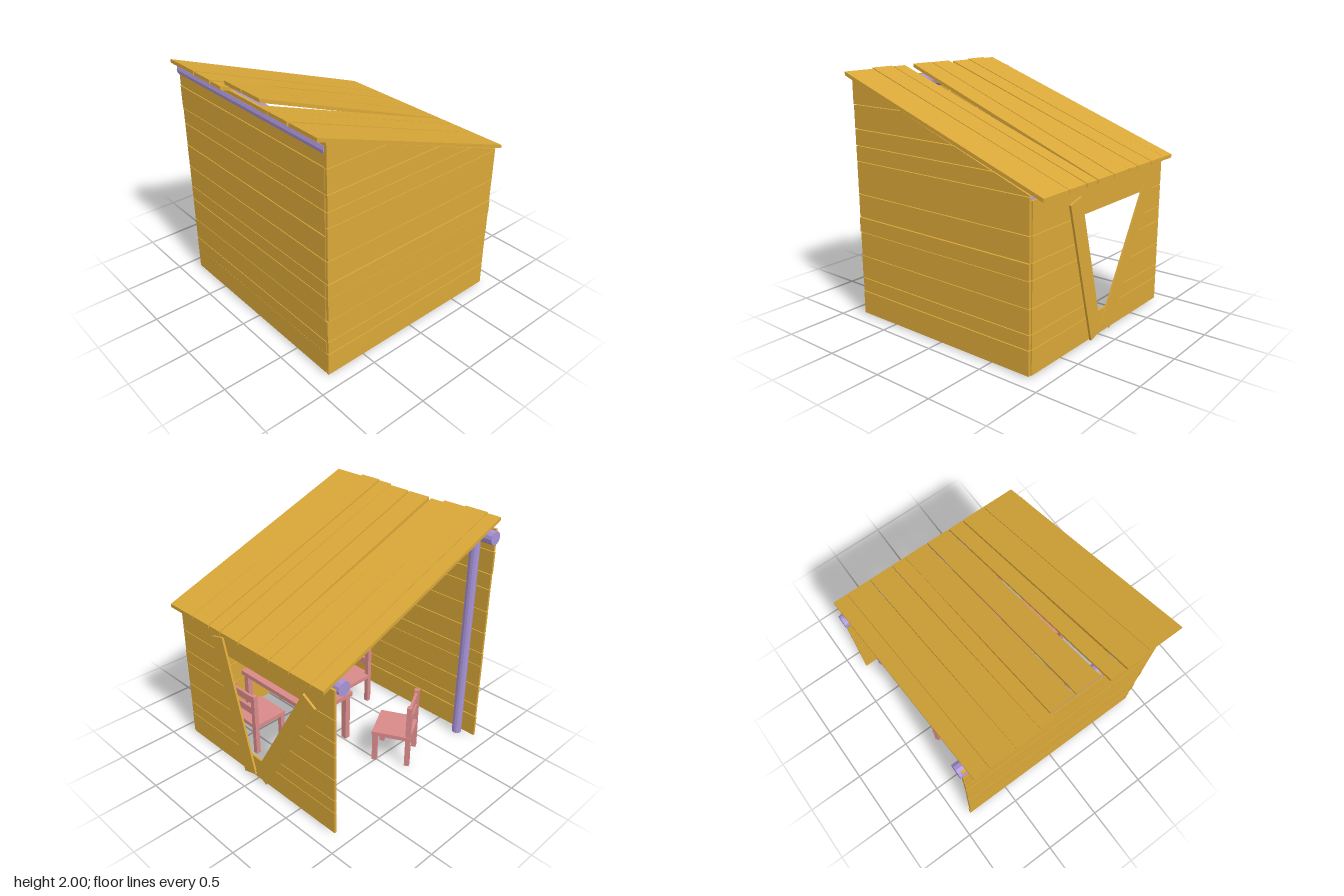
import * as THREE from 'three';

const wood = new THREE.MeshStandardMaterial({ color: 0xd9a738, flatShading: true });
const pole = new THREE.MeshStandardMaterial({ color: 0xa893d6, flatShading: true });
const pink = new THREE.MeshStandardMaterial({ color: 0xd98a8a, flatShading: true });

// Small seeded wobble so the planks look hand-nailed
let seed = 7;
const wobble = (amount) => {
  seed = (seed * 16807) % 2147483647;
  return (seed / 2147483647 - 0.5) * 2 * amount;
};

function add(parent, name, geometry, material, x = 0, y = 0, z = 0) {
  const mesh = new THREE.Mesh(geometry, material);
  mesh.name = name;
  mesh.position.set(x, y, z);
  parent.add(mesh);
  return mesh;
}

// Flat board cut to an outline, extruded along +z
function board(points, depth) {
  const shape = new THREE.Shape(points.map(([x, y]) => new THREE.Vector2(x, y)));
  return new THREE.ExtrudeGeometry(shape, { depth, bevelEnabled: false });
}

const box = (parent, name, w, h, d, x, y, z, material = pink) =>
  add(parent, name, new THREE.BoxGeometry(w, h, d), material, x, y, z);

const SLOPE = 0.364;
const roofUnderside = (z) => 1.611 + SLOPE * z;
const zUnder = (y) => (y - 1.611) / SLOPE;
const ROWS = [0.01, 0.205, 0.32, 0.51, 0.71, 0.835, 1.025, 1.22, 1.415, 1.545, 1.735, 1.92];
const GAP = 0.003;

function frontWall() {
  const wall = new THREE.Group();
  wall.name = 'frontWall';
  for (let i = 0; i < ROWS.length - 1; i++) {
    const a = ROWS[i] + GAP, b = ROWS[i + 1] - GAP, l = -0.88 + wobble(0.004);
    const outline = [[l, a], [0.86, a + wobble(0.002)], [0.86, b + wobble(0.002)], [l, b]];
    add(wall, 'frontPlank', board(outline, 0.02), wood, 0, 0, 0.832 + wobble(0.003));
  }
  return wall;
}

// Side wall planks, the upper ones cut along the roof slope
function sideWall() {
  const wall = new THREE.Group();
  wall.name = 'sideWall';
  const rows = ROWS.map((y) => (y === 1.22 ? 1.29 : y));
  for (let i = 0; i < rows.length - 1; i++) {
    const a = rows[i] + GAP, b = rows[i + 1] - GAP;
    const front = 0.85 + wobble(0.005), back = -0.85;
    const outline = [[-front, a], [-Math.max(back, zUnder(a)), a]];
    if (zUnder(b) > back && zUnder(a) < back) outline.push([-back, roofUnderside(back)]);
    outline.push([-Math.max(back, Math.min(zUnder(b), front)), b]);
    if (zUnder(b) < front) outline.push([-front, b]);
    const plank = add(wall, 'sidePlank', board(outline, 0.022), wood, 0.864 + wobble(0.003), 0, 0);
    plank.rotation.y = Math.PI / 2;
  }
  return wall;
}

// Back wall with a V-shaped opening framed by two slanted braces
function backWall() {
  const wall = new THREE.Group();
  wall.name = 'backWall';
  const L = -0.88, R = 0.86, z = -0.858, t = 0.018;
  const edgeR = (y) => 0.07 + 0.275 * y;
  const edgeL = (y) => -0.05 - 0.55 * y;
  const rows = [...ROWS.slice(0, 7), 1.265];
  for (let i = 0; i < rows.length - 1; i++) {
    const a = rows[i] + GAP, b = rows[i + 1] - GAP;
    if (i === 0 || i === rows.length - 2) {
      add(wall, 'backPlank', board([[L, a], [R, a], [R, b], [L, b]], t), wood, 0, 0, z);
    } else {
      add(wall, 'backPlankRight', board([[L, a], [edgeL(a), a], [edgeL(b), b], [L, b]], t), wood, 0, 0, z);
      add(wall, 'backPlankLeft', board([[edgeR(a), a], [R, a], [R, b], [edgeR(b), b]], t), wood, 0, 0, z);
    }
  }
  for (const [x0, y0, x1, y1, zb] of [[0.075, 0.025, 0.385, 1.16, -0.869], [-0.06, 0.05, -0.645, 1.07, -0.868]]) {
    const brace = box(wall, 'brace', 0.14, Math.hypot(x1 - x0, y1 - y0), 0.018, (x0 + x1) / 2, (y0 + y1) / 2, zb, wood);
    brace.rotation.z = -Math.atan2(x1 - x0, y1 - y0);
  }
  return wall;
}

// Roof planks: back left/right x, front left/right x, front z, extra lift at the front
const ROOF = [
  [-0.87, -0.748, -0.845, -0.722, 0.93, 0],
  [-0.745, -0.54, -0.72, -0.512, 0.935, 0.005],
  [-0.532, -0.33, -0.51, -0.308, 0.93, 0],
  [-0.322, -0.2, -0.305, -0.18, 0.92, -0.008],
  [-0.197, 0.01, -0.195, 0.008, 0.875, 0.035],
  [0.02, 0.225, 0.02, 0.225, 0.875, 0.037],
  [0.236, 0.365, 0.266, 0.392, 0.935, 0.002],
  [0.375, 0.58, 0.405, 0.608, 0.94, 0.005],
  [0.585, 0.868, 0.612, 0.892, 0.93, 0],
];

function roof() {
  const group = new THREE.Group();
  group.name = 'roof';
  for (const [bl, br, fl, fr, zf, lift] of ROOF) {
    const geometry = board([[fl, -zf], [fr, -zf], [br, 0.95], [bl, 0.95]], 0.029);
    geometry.rotateX(-Math.PI / 2);
    const p = geometry.attributes.position;
    for (let i = 0; i < p.count; i++) {
      const z = p.getZ(i);
      p.setY(i, p.getY(i) + roofUnderside(z) + (lift * (z + 0.95)) / 1.85);
    }
    geometry.computeVertexNormals();
    add(group, 'roofPlank', geometry, wood);
  }
  return group;
}

// Round beams under the roof and posts on the open side
function frame() {
  const group = new THREE.Group();
  group.name = 'frame';
  for (const [y, z] of [[1.858, 0.805], [1.255, -0.787]]) {
    const beam = add(group, 'beam', new THREE.CylinderGeometry(0.055, 0.055, 1.76, 12), pole, -0.02, y, z);
    beam.rotation.z = Math.PI / 2;
    add(group, 'post', new THREE.CylinderGeometry(0.04, 0.04, y, 12), pole, -0.73, y / 2, z - 0.01);
  }
  return group;
}

function table() {
  const group = new THREE.Group();
  group.name = 'table';
  box(group, 'tableTop', 0.92, 0.04, 0.46, 0, 0.45, 0);
  for (const x of [-0.42, 0.42])
    for (const z of [-0.19, 0.19]) box(group, 'tableLeg', 0.05, 0.43, 0.05, x, 0.215, z);
  group.position.set(0.315, 0, -0.155);
  return group;
}

// Chair facing +z, backrest at -z
function chair(x, z, turn) {
  const group = new THREE.Group();
  group.name = 'chair';
  box(group, 'seat', 0.32, 0.035, 0.32, 0, 0.27, 0);
  for (const s of [-1, 1]) {
    box(group, 'frontLeg', 0.04, 0.255, 0.04, s * 0.135, 0.1275, 0.135);
    box(group, 'backLeg', 0.04, 0.57, 0.04, s * 0.135, 0.285, -0.14);
  }
  for (const y of [0.41, 0.52]) box(group, 'backSlat', 0.24, 0.065, 0.022, 0, y, -0.14);
  group.position.set(x, 0, z);
  group.rotation.y = turn;
  return group;
}

export function createModel() {
  const model = new THREE.Group();
  model.name = 'playShed';
  model.add(frontWall(), sideWall(), backWall(), roof(), frame(), table());
  model.add(chair(0.29, 0.445, Math.PI), chair(0.4, -0.51, 0), chair(-0.54, 0.18, 2.06));
  return model;
}
